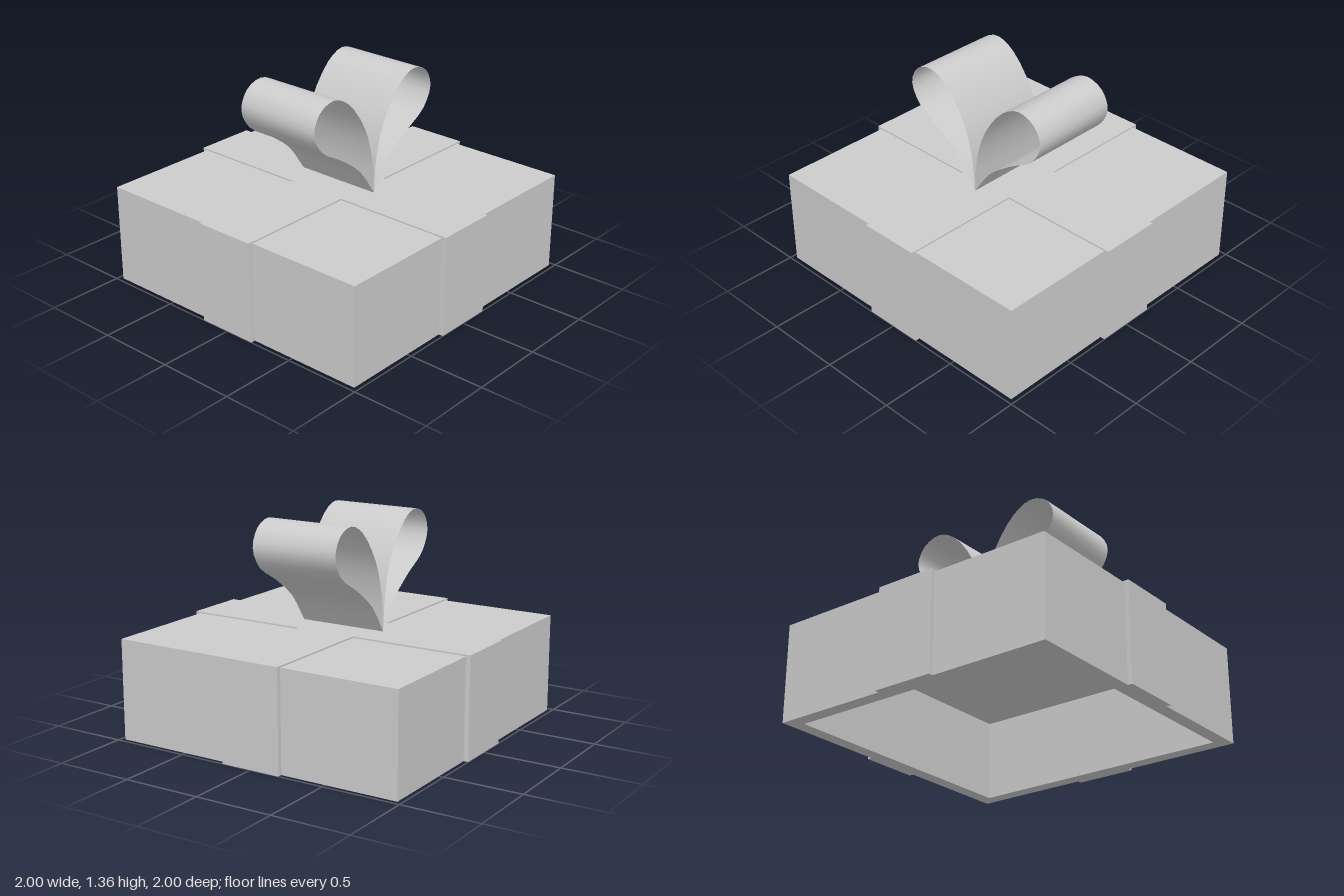
import * as THREE from 'three';

const HALF = 0.97, BOX_TOP = 0.64, TOP = 0.65, RIBBON = 0.2;
const grey = new THREE.MeshStandardMaterial({ color: 0xcccccc });
const flat = new THREE.MeshStandardMaterial({ color: 0xcccccc, flatShading: true });
const thin = new THREE.MeshStandardMaterial({ color: 0xcccccc, side: THREE.DoubleSide });

const points = (list) => list.map(([x, y]) => new THREE.Vector2(x, y));

function addMesh(parent, name, geometry, material) {
  const mesh = new THREE.Mesh(geometry, material);
  mesh.name = name;
  parent.add(mesh);
  return mesh;
}

// Extrude a profile in x and y, centred along z
function strap(profile) {
  const geometry = new THREE.ExtrudeGeometry(new THREE.Shape(points(profile)), { depth: 2 * RIBBON, bevelEnabled: false });
  return geometry.translate(0, 0, -RIBBON);
}

// One teardrop ribbon loop: a flat sheet rolled along a curve
function bowLoop(side) {
  const path = new THREE.CatmullRomCurve3([
    [0, 0], [0.02, 0.23], [0.09, 0.45], [0.24, 0.65], [0.37, 0.71], [0.49, 0.665],
    [0.54, 0.55], [0.475, 0.42], [0.3, 0.31], [0.13, 0.18], [0, 0],
  ].map(([x, y]) => new THREE.Vector3(side * x, TOP + y, 0)));
  const sheet = new THREE.PlaneGeometry(1, 0.585, 30, 1);
  const pos = sheet.attributes.position;
  for (let i = 0; i < pos.count; i++) {
    const p = path.getPoint(THREE.MathUtils.clamp(pos.getX(i) + 0.5, 0, 1));
    pos.setXYZ(i, p.x, p.y, pos.getY(i));
  }
  sheet.computeVertexNormals();
  return sheet;
}

export function createModel() {
  const model = new THREE.Group();
  model.name = 'giftBox';

  // Hollow box, open underneath: a four-sided lathe
  const r = Math.SQRT2, inner = 0.88, ceiling = 0.54;
  const box = new THREE.LatheGeometry(points([
    [0, ceiling], [inner * r, ceiling], [inner * r, 0],
    [HALF * r, 0], [HALF * r, BOX_TOP], [0, BOX_TOP],
  ]), 4, Math.PI / 4).toNonIndexed();
  box.computeVertexNormals();
  addMesh(model, 'box', box, flat);

  // Ribbon: one long strap front to back, two arms to the sides
  const ribbon = new THREE.Group();
  ribbon.name = 'ribbon';
  model.add(ribbon);
  addMesh(ribbon, 'longStrap', strap([
    [-1, 0], [-HALF, 0], [-HALF, BOX_TOP], [HALF, BOX_TOP], [HALF, 0], [1, 0], [1, TOP], [-1, TOP],
  ]), grey).rotation.y = Math.PI / 2;
  const arm = strap([[RIBBON, BOX_TOP], [HALF, BOX_TOP], [HALF, 0], [1, 0], [1, TOP], [RIBBON, TOP]]);
  addMesh(ribbon, 'leftArm', arm, grey);
  addMesh(ribbon, 'rightArm', arm, grey).rotation.y = Math.PI;

  // Bow with two mirrored loops
  const bow = new THREE.Group();
  bow.name = 'bow';
  model.add(bow);
  addMesh(bow, 'leftLoop', bowLoop(1), thin);
  addMesh(bow, 'rightLoop', bowLoop(-1), thin);

  return model;
}
